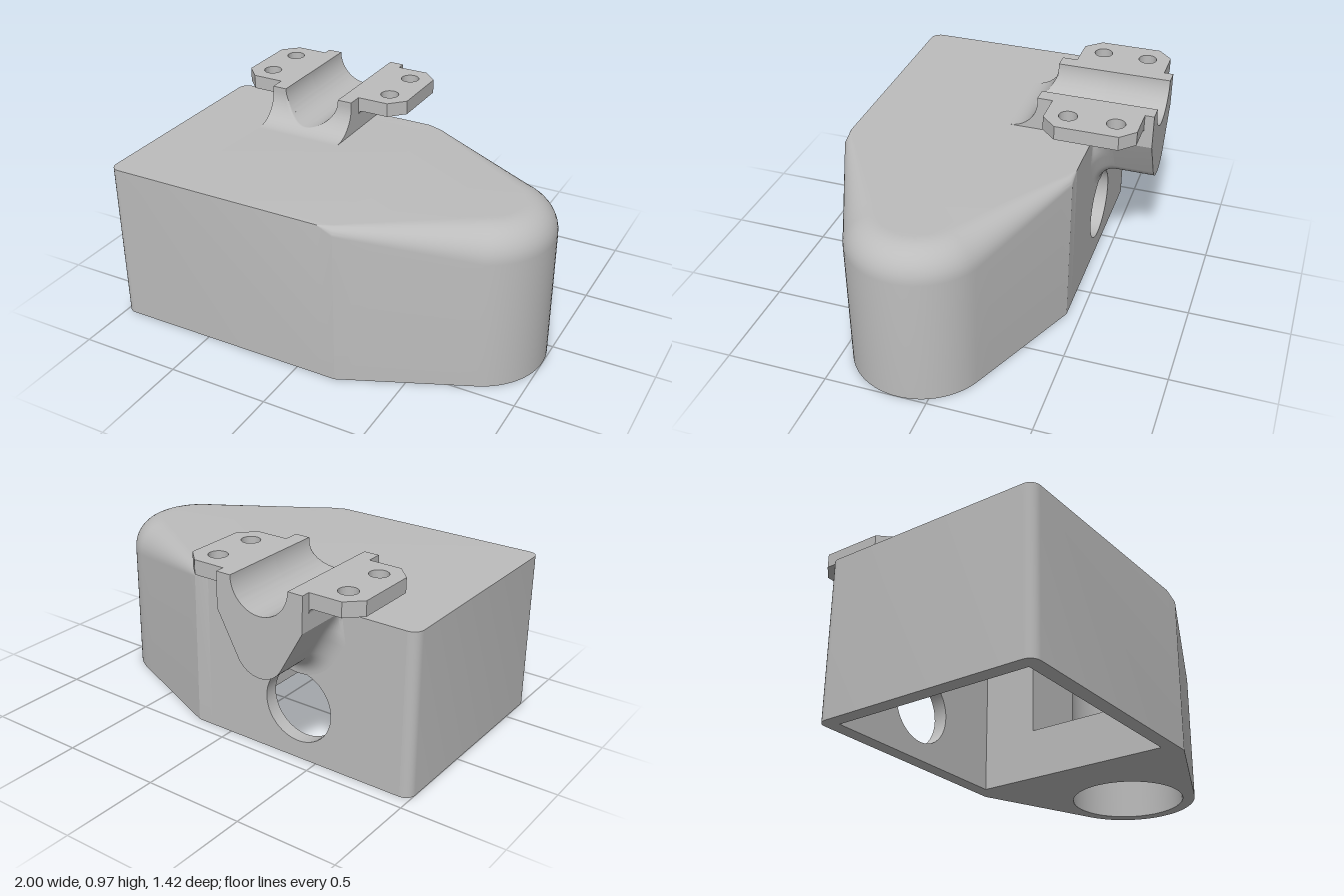
import * as THREE from 'three';
import { mergeGeometries, toCreasedNormals } from 'three/addons/utils/BufferGeometryUtils.js';

const CREASE = 0.35;
const MX = -0.4;                                   // centre line of the bearing mount
const CX = 0.66, CZ = 0.14, NOSE_R = 0.34, BORE_R = 0.28;
const H = 0.8, CEIL = 0.73;

export function createModel() {
  const model = new THREE.Group();
  const grey = new THREE.MeshStandardMaterial({ color: 0xbcbcbc, side: THREE.DoubleSide });
  grey.name = 'plainGrey';

  const add = (name, geometry, parent = model) => {
    const mesh = new THREE.Mesh(geometry, grey);
    mesh.name = name;
    parent.add(mesh);
    return mesh;
  };
  const shapeOf = pts => new THREE.Shape(pts.map(p => new THREE.Vector2(p[0], p[1])));
  const circle = (x, y, r) => new THREE.Path().absarc(x, y, r, 0, Math.PI * 2, true);
  const extrude = (shape, depth) => toCreasedNormals(
    new THREE.ExtrudeGeometry(shape, { depth, bevelEnabled: false, curveSegments: 24 }), CREASE);
  const fromTriangles = list => {
    const g = new THREE.BufferGeometry();
    g.setAttribute('position', new THREE.Float32BufferAttribute(list.flat(), 3));
    g.computeVertexNormals();
    return g;
  };
  // Joins successive rows of points into a surface
  const loft = (rows, closed, skip = () => false) => {
    const t = [], n = rows[0].length;
    for (let k = 0; k < rows.length - 1; k++) {
      for (let i = 0; i < (closed ? n : n - 1); i++) {
        if (skip(i, k)) continue;
        const j = (i + 1) % n, [lo, up] = [rows[k], rows[k + 1]];
        t.push(lo[i], up[j], lo[j], lo[i], up[i], up[j]);
      }
    }
    return fromTriangles(t);
  };
  const quad = (a, b, c, d) => fromTriangles([a, b, c, a, c, d]);

  // Body outline: [x, z, normal x, normal z, top fillet radius]
  const outline = [[-0.95, -0.43, 0, -1, 0], [0.12, -0.43, 0, -1, 0]];
  const tip = 1.162, nx = Math.cos(tip), nz = Math.sin(tip);
  const tx = CX + NOSE_R * nx, tz = NOSE_R * nz;
  const taper = s => Array.from({ length: 8 }, (_, i) => {
    const f = i / 8;
    return [0.2 + (tx - 0.2) * f, CZ + s * (0.57 + (tz - 0.57) * f), nx * (i ? 1 : 0.5), s * nz, 0.04 + 0.11 * f];
  });
  outline.push(...taper(-1));
  for (let i = 0; i <= 32; i++) {
    const a = -tip + 2 * tip * i / 32, c = Math.cos(a), s = Math.sin(a);
    outline.push([CX + NOSE_R * c, CZ + NOSE_R * s, c, s, 0.15]);
  }
  outline.push(...taper(1).reverse(), [0.12, 0.71, 0, 1, 0]);
  for (const [z, start] of [[0.66, Math.PI / 2], [-0.38, Math.PI]]) {
    for (let i = 0; i <= 6; i++) {
      const a = start + i / 6 * Math.PI / 2;
      outline.push([-0.95 + 0.05 * Math.cos(a), z + 0.05 * Math.sin(a), 0, 0, 0]);
    }
  }
  outline.pop();                                   // same as the first point

  // Outer shell with a top fillet that grows towards the nose
  const rows = [outline.map(p => [p[0], 0, p[1]])];
  for (let k = 0; k <= 10; k++) {
    const a = k / 10 * Math.PI / 2, c = 1 - Math.cos(a), s = 1 - Math.sin(a);
    rows.push(outline.map(([x, z, u, w, r]) => [x - u * r * c, H - r * s, z - w * r * c]));
  }
  const n = outline.length;
  const shell = loft(rows, true, (i, k) =>
    (k === 0 && i === 0) || (k > 0 && outline[i][4] + outline[(i + 1) % n][4] === 0));
  const cap = new THREE.ShapeGeometry(shapeOf(rows[11].map(p => [p[0], -p[2]])))
    .rotateX(-Math.PI / 2).translate(0, H, 0).toNonIndexed();
  cap.deleteAttribute('uv');
  add('bodyShell', toCreasedNormals(mergeGeometries([shell, cap]), CREASE));

  // Back wall with its round port
  const wall = shapeOf([[-0.95, 0], [0.12, 0], [0.12, H], [-0.95, H]]);
  wall.holes.push(circle(MX, 0.27, 0.18));
  add('backWall', extrude(wall, 0.07).translate(0, 0, -0.43));

  // Underside rim around the two pockets
  const [x0, x1, z0, z1] = [-0.93, 0.11, -0.36, 0.64];
  const rim = shapeOf(outline);
  rim.holes.push(shapeOf([[x0, z0], [x0, z1], [x1, z1], [x1, z0]]), circle(CX, CZ, BORE_R));
  add('bottomRim', new THREE.ShapeGeometry(rim, 48).rotateX(Math.PI / 2));

  // Rectangular pocket, joined to the round bore by a slot
  const pocket = new THREE.Group();
  pocket.name = 'pocket';
  model.add(pocket);
  const sy = 0.25, sa = CZ - 0.21, sb = CZ + 0.21, sx = CX - Math.sqrt(BORE_R ** 2 - 0.21 ** 2);
  const wallX = (name, x, za, zb, y0) =>
    add(name, quad([x, y0, za], [x, CEIL, za], [x, CEIL, zb], [x, y0, zb]), pocket);
  const wallZ = (name, z, xa, xb, y0) =>
    add(name, quad([xa, y0, z], [xa, CEIL, z], [xb, CEIL, z], [xb, y0, z]), pocket);
  const ceiling = (name, xa, xb, za, zb) =>
    add(name, quad([xa, CEIL, za], [xb, CEIL, za], [xb, CEIL, zb], [xa, CEIL, zb]), pocket);
  wallX('pocketLeftWall', x0, z0, z1, 0);
  wallZ('pocketFrontWall', z1, x0, x1, 0);
  wallX('pocketDividerBack', x1, z0, sa, 0);
  wallX('pocketDividerFront', x1, sb, z1, 0);
  add('pocketDividerSill', quad([x1, 0, sa], [x1, sy, sa], [x1, sy, sb], [x1, 0, sb]), pocket);
  ceiling('pocketCeiling', x0, x1, z0, z1);
  ceiling('slotCeiling', x1, sx, sa, sb);
  wallZ('slotBackSide', sa, x1, sx, sy);
  wallZ('slotFrontSide', sb, x1, sx, sy);
  const half = Math.asin(0.21 / BORE_R);
  const sill = new THREE.Shape().moveTo(x1, sa).lineTo(x1, sb).lineTo(sx, sb);
  sill.absarc(CX, CZ, BORE_R, Math.PI - half, Math.PI + half, false);
  add('slotFloor', new THREE.ShapeGeometry(sill, 16).rotateX(Math.PI / 2).translate(0, sy, 0), pocket);

  // Round bore in the nose
  const bore = (name, h, start, length) => add(name,
    new THREE.CylinderGeometry(BORE_R, BORE_R, h, 40, 1, true, start, length).translate(CX, h / 2, CZ));
  bore('boreWall', CEIL, 1.5 * Math.PI + half, 2 * Math.PI - 2 * half);
  bore('boreSlotSill', sy, 1.5 * Math.PI - half, 2 * half);
  add('boreCeiling', new THREE.CircleGeometry(BORE_R, 48).rotateX(Math.PI / 2).translate(CX, CEIL, CZ));

  // Bearing mount
  const mount = new THREE.Group();
  mount.name = 'bearingMount';
  mount.position.x = MX;
  model.add(mount);
  const W = 0.225, TOP = 0.97, TR = 0.15, A = 0.5;
  const trough = s => s.lineTo(TR, TOP).absarc(0, TOP, TR, 0, -Math.PI, true).lineTo(-W, TOP);
  const rear = new THREE.Shape().moveTo(W, TOP);
  trough(rear).lineTo(-W, H).absarc(0, 0.66, 0.13, Math.PI + A, 2 * Math.PI - A, false).lineTo(W, H);
  add('rearSaddle', extrude(rear, 0.315).translate(0, 0, -0.715), mount);
  const upper = new THREE.Shape().moveTo(W, TOP);
  trough(upper).lineTo(-W, 0.77).lineTo(W, 0.77);
  add('frontSaddle', extrude(upper, 0.26).translate(0, 0, -0.405), mount);

  // Concave ramp in front of the saddle, with the trough running out through it
  const RR = 0.145, ramp = z => H + RR - Math.sqrt(Math.max(0, RR * RR - z * z));
  const side = new THREE.Shape().moveTo(0, H).absarc(0, H + RR, RR, -Math.PI / 2, 0, false).lineTo(RR, H);
  for (const x of [-W, TR]) {
    add('rampCheek', extrude(side, W - TR).rotateY(Math.PI / 2).translate(x, 0, 0), mount);
  }
  const field = new THREE.PlaneGeometry(2 * TR, RR, 40, 40).rotateX(-Math.PI / 2).translate(0, 0, -RR / 2);
  const fp = field.attributes.position;
  for (let i = 0; i < fp.count; i++) {
    const x = fp.getX(i), z = fp.getZ(i);
    fp.setY(i, Math.min(ramp(z), TOP - Math.sqrt(Math.max(0, TR * TR - x * x))));
  }
  field.computeVertexNormals();
  add('rampTrough', field, mount);

  // Flared blend between the overhanging saddle and the back wall
  const under = [];
  for (let i = 0; i <= 8; i++) {
    const f = i / 8;
    under.push([W + (0.13 * Math.cos(A) - W) * f, H + (0.66 - 0.13 * Math.sin(A) - H) * f, Math.cos(A), -Math.sin(A)]);
  }
  for (let i = 1; i <= 20; i++) {
    const a = -A - (Math.PI - 2 * A) * i / 20;
    under.push([0.13 * Math.cos(a), 0.66 + 0.13 * Math.sin(a), Math.cos(a), Math.sin(a)]);
  }
  under.push(...under.slice(0, 8).reverse().map(([x, y, u, v]) => [-x, y, -u, v]));
  const R = 0.09, flare = [];
  for (let k = 0; k <= 10; k++) {
    const b = k / 10 * Math.PI / 2, d = R * (1 - Math.sin(b));
    flare.push(under.map(([x, y, u, v]) => {
      const e = d * Math.min(1, (H - y) / 0.1);
      return [x + u * e, y + v * e, -0.43 - R * (1 - Math.cos(b))];
    }));
  }
  add('wallBlend', toCreasedNormals(loft(flare, false), 0.5), mount);

  // Bolt flanges with chamfered corners, two holes each and a small root fillet
  for (const s of [-1, 1]) {
    const plate = shapeOf([[0.2, -0.67], [0.385, -0.67], [0.457, -0.6], [0.457, -0.295], [0.385, -0.22], [0.2, -0.22]]
      .map(([x, z]) => [s * x, z]));
    for (const z of [-0.56, -0.33]) plate.holes.push(circle(s * 0.343, z, 0.045));
    add('boltFlange', extrude(plate, 0.07).rotateX(Math.PI / 2).translate(0, TOP, 0), mount);
    const root = new THREE.Shape().moveTo(s * W, 0.875);
    root.quadraticCurveTo(s * W, 0.9, s * (W + 0.025), 0.9).lineTo(s * W, 0.9);
    add('flangeRoot', extrude(root, 0.45).translate(0, 0, -0.67), mount);
  }
  return model;
}
